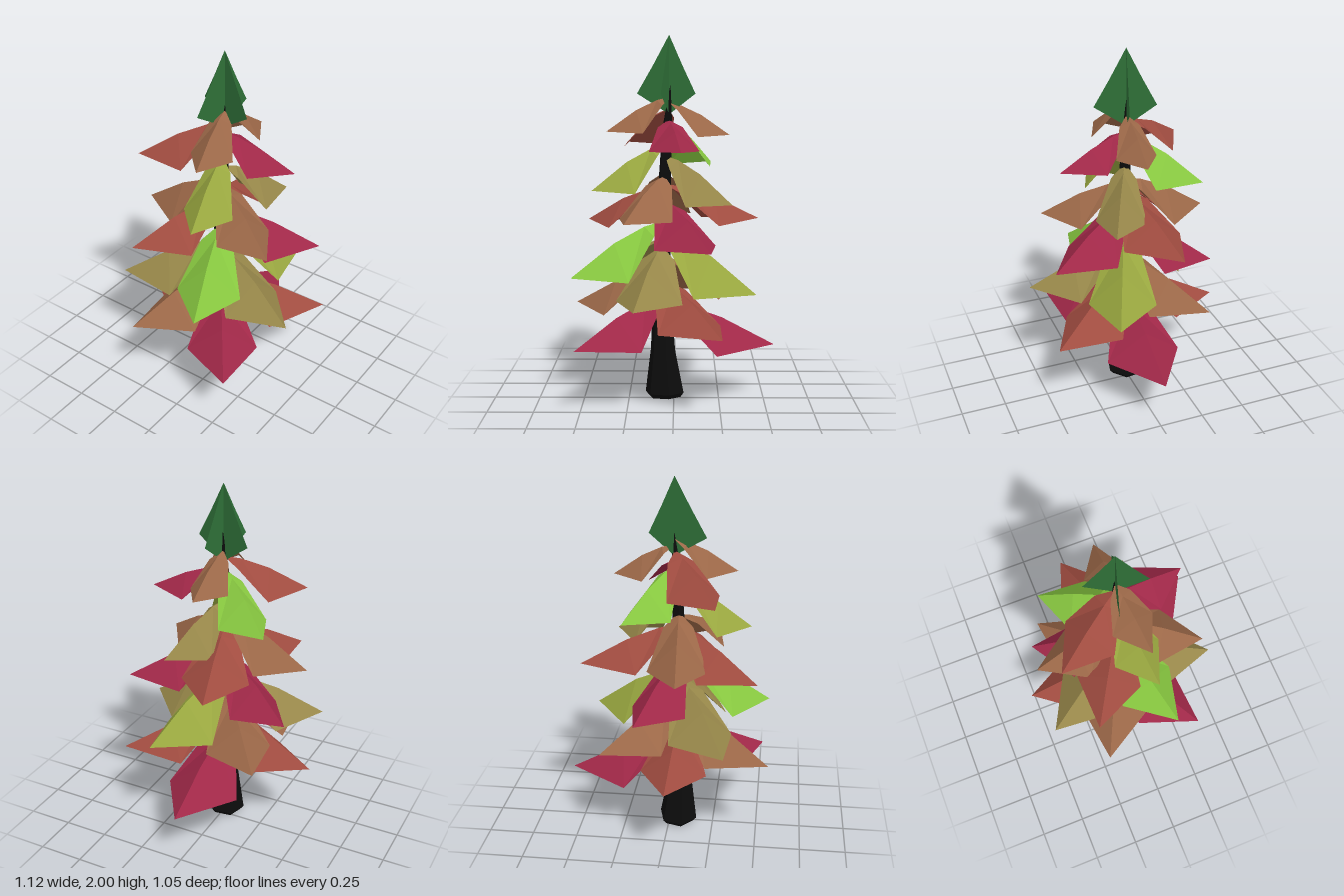
import * as THREE from 'three';

// Trunk centre line: a slight bow to one side, easing to the middle at the top
const trunkX = (y) => -0.05 - 0.0475 * y + 0.038 * y * y;

function sheet(points, faces) {
  const g = new THREE.BufferGeometry();
  g.setAttribute('position', new THREE.Float32BufferAttribute(points.flat(), 3));
  g.setIndex(faces.flat());
  const flat = g.toNonIndexed();
  flat.computeVertexNormals();
  return flat;
}

// Unit bough along +x: arched spine from root to tip, falling by drop, with a wing on each side
function boughGeometry(drop) {
  const spine = [[0, 0, 0], [0.2, -0.09 * drop, 0], [0.53, -0.38 * drop, 0], [1, -drop, 0]];
  const wing = (side) => [[0.15, -0.25 * drop, 0.17 * side], [0.48, -drop - 0.02, 0.34 * side]];
  return sheet([...spine, ...wing(1), ...wing(-1)], [
    [0, 4, 1], [1, 4, 5], [1, 5, 2], [2, 5, 3],
    [0, 1, 6], [1, 7, 6], [1, 2, 7], [2, 3, 7],
  ]);
}

// One upright fin of the crown, reaching out along +x from the trunk axis
function finGeometry() {
  return sheet([[0, 1.58, 0], [1, 1.69, 0], [0.5, 1.84, 0], [0, 2, 0]],
    [[0, 1, 2], [0, 2, 3]]);
}

// Boughs: tip x, y, z, fall per unit of length, tint
const BOUGHS = [
  [0.555, 0.31, 0, 0.4, 'red'], [-0.52, 0.36, 0.34, 0.4, 'red'],
  [-0.03, 0.44, -0.53, 0.42, 'rust'], [0.25, 0.46, 0.49, 0.37, 'rust'],
  [-0.56, 0.495, -0.24, 0.43, 'orange'], [0.34, 0.565, -0.35, 0.43, 'orange'],
  [-0.2, 0.61, 0.52, 0.47, 'ochre'], [0.44, 0.635, 0.21, 0.56, 'olive'],
  [-0.33, 0.64, -0.48, 0.47, 'ochre'], [-0.55, 0.715, 0.175, 0.55, 'lime'],
  [0.14, 0.78, -0.44, 0.5, 'red'], [0.19, 0.9, 0.475, 0.4, 'red'],
  [-0.49, 0.975, -0.27, 0.42, 'rust'], [0.47, 1.0, -0.13, 0.38, 'rust'],
  [-0.08, 1.02, -0.47, 0.53, 'orange'], [-0.25, 1.04, 0.42, 0.45, 'orange'],
  [0.31, 1.11, 0.18, 0.62, 'ochre'], [-0.44, 1.175, 0.085, 0.6, 'olive'],
  [0.21, 1.3, -0.34, 0.55, 'lime'], [0.04, 1.4, 0.39, 0.38, 'red'],
  [-0.27, 1.41, -0.38, 0.44, 'rust'], [0.3, 1.47, 0.01, 0.53, 'orange'],
  [-0.36, 1.49, 0.065, 0.53, 'orange'],
];

const TINTS = {
  red: 0xa02848, rust: 0xa04c40, orange: 0x9c6848,
  ochre: 0x98884a, olive: 0x9aa840, lime: 0x88c840,
};

export function createModel() {
  const tree = new THREE.Group();
  tree.name = 'tree';

  // Six-sided tapering trunk
  const profile = [[0, 0.01], [0.09, 0.01], [0.11, 0.035], [0.07, 0.28], [0.05, 0.6],
    [0.04, 1], [0.028, 1.5], [0, 1.75]].map(([r, y]) => new THREE.Vector2(r, y));
  const trunkGeo = new THREE.LatheGeometry(profile, 6, Math.PI / 12);
  const p = trunkGeo.attributes.position;
  for (let i = 0; i < p.count; i++) {
    const [x, y, z] = [p.getX(i), p.getY(i), p.getZ(i)];
    const tilt = y < 0.05 ? 0.11 * z : 0; // the foot sits a little askew
    p.setXYZ(i, x + trunkX(y), y + tilt, z);
  }
  trunkGeo.computeVertexNormals();
  const trunk = new THREE.Mesh(trunkGeo,
    new THREE.MeshStandardMaterial({ color: 0x0c0c0c, flatShading: true }));
  trunk.name = 'trunk';
  tree.add(trunk);

  // Boughs, each turned and scaled so that its tip lands in place
  const tinted = {};
  for (const [name, color] of Object.entries(TINTS)) {
    tinted[name] = new THREE.MeshStandardMaterial({ color, flatShading: true, side: THREE.DoubleSide });
  }
  const boughs = new THREE.Group();
  boughs.name = 'boughs';
  BOUGHS.forEach(([x, y, z, drop, tint], i) => {
    const cx = trunkX(y + 0.2);
    const length = Math.hypot(x - cx, z);
    const bough = new THREE.Mesh(boughGeometry(drop), tinted[tint]);
    bough.name = `bough${i + 1}`;
    bough.position.set(cx, y + drop * length, 0);
    bough.rotation.y = Math.atan2(-z, x - cx);
    bough.scale.setScalar(length);
    boughs.add(bough);
  });
  tree.add(boughs);

  // Crown of four upright fins of slightly different reach
  const crown = new THREE.Group();
  crown.name = 'crown';
  const finGeo = finGeometry();
  const green = new THREE.MeshStandardMaterial({ color: 0x2f7038, flatShading: true, side: THREE.DoubleSide });
  [0.145, 0.16, 0.18, 0.17].forEach((reach, i) => {
    const fin = new THREE.Mesh(finGeo, green);
    fin.name = `crownFin${i + 1}`;
    fin.rotation.y = -0.25 + (i * Math.PI) / 2;
    fin.scale.x = reach;
    crown.add(fin);
  });
  crown.position.x = -0.025;
  tree.add(crown);
  return tree;
}
